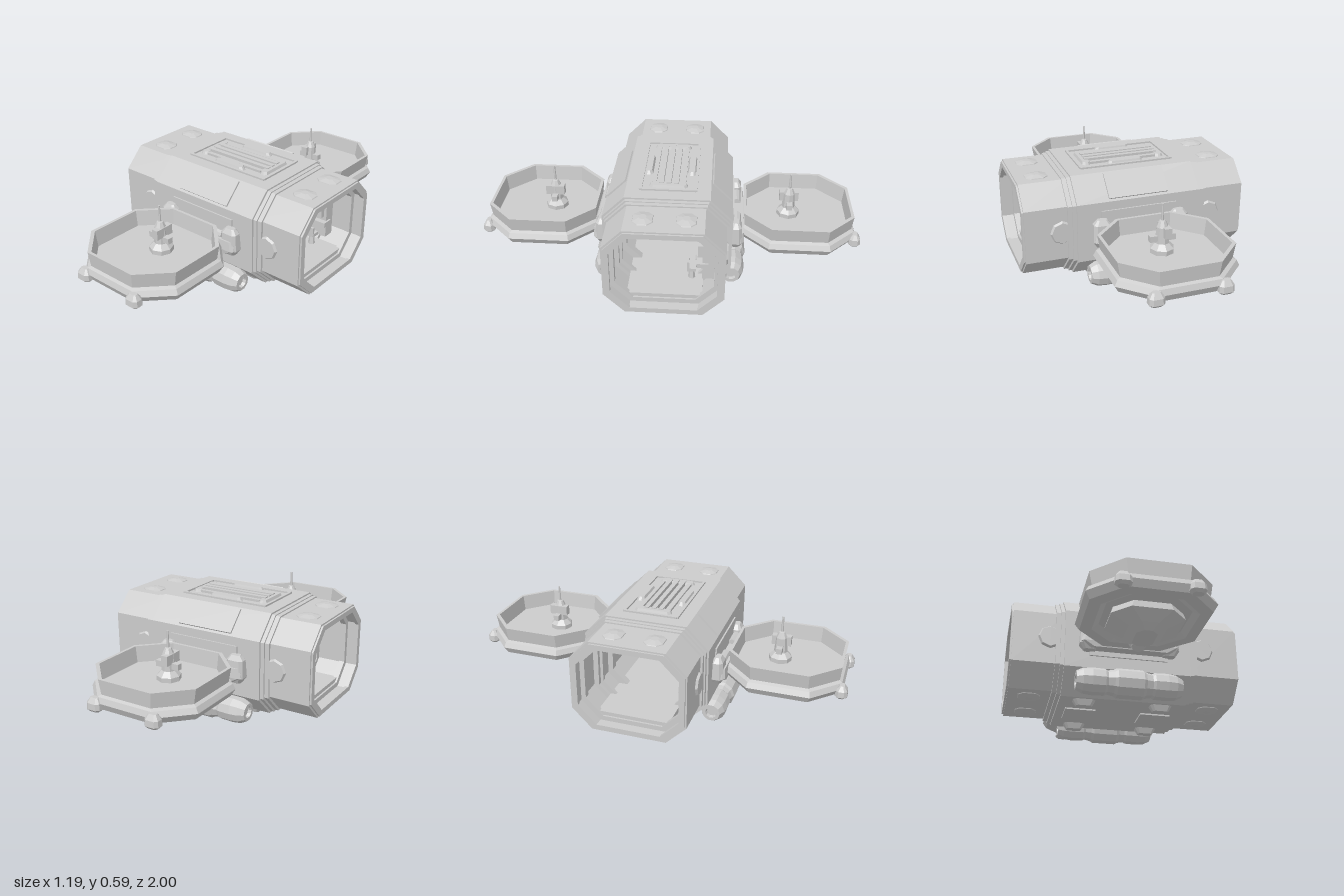
import * as THREE from 'three';

const mat = new THREE.MeshStandardMaterial({ color: 0xcccccc, flatShading: true, side: THREE.DoubleSide });

function add(parent, name, geo, x = 0, y = 0, z = 0) {
  const m = new THREE.Mesh(geo, mat);
  m.name = name;
  m.position.set(x, y, z);
  parent.add(m);
  return m;
}
const box = (w, h, d) => new THREE.BoxGeometry(w, h, d);

// Corners of an octagon with half sizes a, b and corner cut c
const octagon = (a, b, c) => [
  [a, b - c], [a - c, b], [c - a, b], [-a, b - c], [-a, c - b], [c - a, -b], [a - c, -b], [a, c - b],
];

// Stacked octagon rings [y, halfX, halfZ, cut, zOffset], capped at both ends
function loft(rings) {
  const pos = [];
  const pts = rings.map(([y, a, b, c, dz = 0]) => octagon(a, b, c).map(([x, v]) => [x, y, dz - v]));
  const tri = (...p) => p.forEach((q) => pos.push(...q));
  for (let k = 0; k < pts.length - 1; k++) {
    for (let i = 0; i < 8; i++) {
      const j = (i + 1) % 8;
      tri(pts[k][i], pts[k][j], pts[k + 1][j]);
      tri(pts[k][i], pts[k + 1][j], pts[k + 1][i]);
    }
  }
  const top = pts[pts.length - 1];
  for (let i = 1; i < 7; i++) {
    tri(pts[0][0], pts[0][i + 1], pts[0][i]);
    tri(top[0], top[i], top[i + 1]);
  }
  const g = new THREE.BufferGeometry();
  g.setAttribute('position', new THREE.Float32BufferAttribute(pos, 3));
  g.computeVertexNormals();
  return g;
}

// Octagonal ring running along x; outer and inner are [halfZ, bottomY, topY, cut]
function sleeve(x0, x1, outer, inner) {
  const path = ([w, lo, hi, c]) =>
    octagon(w, (hi - lo) / 2, c).map(([z, y]) => new THREE.Vector2(z, y + (lo + hi) / 2));
  const s = new THREE.Shape(path(outer));
  s.holes.push(new THREE.Path(path(inner)));
  return new THREE.ExtrudeGeometry(s, { depth: x1 - x0, bevelEnabled: false })
    .rotateY(Math.PI / 2).translate(x0, 0, 0);
}

function buildHull(g) {
  add(g, 'centreHull', sleeve(-0.325, 0.325, [0.33, 0.04, 0.58, 0.115], [0.25, 0.11, 0.52, 0.09]));
  for (const s of [-1, 1]) {
    const ring = (name, a, b, o, i) => add(g, name, sleeve(Math.min(s * a, s * b), Math.max(s * a, s * b), o, i));
    ring('endHull', 0.325, 0.585, [0.30, 0.07, 0.56, 0.105], [0.272, 0.095, 0.535, 0.1]);
    ring('endLip', 0.575, 0.594, [0.292, 0.078, 0.552, 0.103], [0.262, 0.105, 0.525, 0.095]);
    ring('innerCollar', 0.325, 0.345, [0.32, 0.05, 0.572, 0.112], [0.23, 0.125, 0.51, 0.085]);
    ring('outerCollar', 0.345, 0.368, [0.312, 0.06, 0.567, 0.11], [0.245, 0.11, 0.52, 0.085]);
    ring('innerFrame', 0.19, 0.23, [0.26, 0.1, 0.53, 0.09], [0.222, 0.14, 0.505, 0.08]);
    ring('doorFrame', 0.5, 0.53, [0.28, 0.09, 0.54, 0.1], [0.247, 0.12, 0.515, 0.09]);
    // Domes on the sides, blisters above and below
    for (const z of [-1, 1]) {
      const dome = add(g, 'sideDome', new THREE.CylinderGeometry(0.055, 0.068, 0.02, 8), s * 0.395, 0.32, z * 0.302);
      dome.rotation.x = z * Math.PI / 2;
      const blister = () => loft([[-0.015, 0.065, 0.055, 0.03], [0.004, 0.055, 0.048, 0.025], [0.013, 0.02, 0.018, 0.01]]);
      add(g, 'topBlister', blister(), s * 0.475, 0.56, z * 0.105);
      add(g, 'bottomBlister', blister().rotateX(Math.PI), s * 0.475, 0.07, z * 0.105);
    }
  }
  add(g, 'deck', box(1.04, 0.035, 0.38), 0, 0.123, 0);

  // Panels on the upper slopes, doors behind the platforms
  for (const z of [-1, 1]) {
    const panel = add(g, 'slopePanel', box(0.315, 0.012, 0.14), 0, 0.526, z * 0.273);
    panel.rotation.x = z * Math.PI / 4;
    add(g, 'sideDoor', box(0.4, 0.2, 0.012), 0, 0.32, z * 0.332);
  }

  // Feet and belly plates
  for (const x of [-0.2, 0.2]) {
    for (const z of [-0.17, 0.17]) {
      add(g, 'bellyFoot', loft([[0.01, 0.04, 0.02, 0.01], [0.045, 0.06, 0.035, 0.015]]), x, 0, z);
    }
    add(g, 'bellyPlate', box(0.16, 0.012, 0.14), x, 0.038, 0);
  }
}

function buildHatch() {
  const g = new THREE.Group();
  g.name = 'roofHatch';
  for (const s of [-1, 1]) {
    add(g, 'hatchRim', box(0.5, 0.012, 0.014), 0, 0.583, s * 0.14);
    add(g, 'hatchRim', box(0.014, 0.012, 0.28), s * 0.245, 0.583, 0);
    add(g, 'hatchBracket', loft([[0.575, 0.025, 0.1, 0.015], [0.594, 0.018, 0.09, 0.012]]), s * 0.2, 0, 0);
    add(g, 'hatchCover', loft([[0.575, 0.1, 0.025, 0.015], [0.598, 0.085, 0.016, 0.01]]), 0, 0, s * 0.112);
    add(g, 'hatchShoulder', box(0.36, 0.014, 0.022), 0, 0.585, s * 0.075);
  }
  for (let i = -1; i <= 1; i++) add(g, 'hatchBar', box(0.4, 0.022, 0.024), 0, 0.588, i * 0.038);
  return g;
}

// Octagonal landing tray with its pod, control post, hinge and lugs, facing +z
function buildPlatform() {
  const g = new THREE.Group();
  const zc = 0.675;
  add(g, 'tray', loft([
    [0.268, 0.2, 0.2, 0.1], [0.247, 0.23, 0.23, 0.11], [0.25, 0.285, 0.285, 0.14],
    [0.285, 0.305, 0.302, 0.145], [0.312, 0.292, 0.292, 0.14], [0.32, 0.275, 0.278, 0.135],
    [0.395, 0.288, 0.285, 0.14], [0.395, 0.272, 0.27, 0.135], [0.312, 0.262, 0.262, 0.13],
  ]), 0, 0, zc);
  add(g, 'pod', loft([
    [0.165, 0.05, 0.08, 0.03], [0.19, 0.09, 0.115, 0.05], [0.235, 0.175, 0.165, 0.08], [0.27, 0.165, 0.16, 0.08],
  ]), 0, 0, 0.665);
  add(g, 'podKnob', new THREE.CylinderGeometry(0.05, 0.035, 0.05, 8), 0, 0.205, 0.54).rotation.x = -0.5;

  // Control post
  add(g, 'postBase', new THREE.LatheGeometry([[0.06, 0.31], [0.06, 0.335], [0.035, 0.36], [0.03, 0.44], [0.016, 0.47], [0, 0.475]]
    .map(([r, y]) => new THREE.Vector2(r, y)), 8), 0, 0, 0.63);
  add(g, 'postArm', box(0.13, 0.03, 0.03), 0, 0.385, 0.63);
  add(g, 'postSeat', box(0.035, 0.05, 0.1), 0.012, 0.42, 0.63);
  add(g, 'postMast', new THREE.CylinderGeometry(0.005, 0.009, 0.15, 6), 0, 0.48, 0.63);

  // Hinge and outer lugs
  add(g, 'hingeBeam', loft([[0.245, 0.2, 0.03, 0.015], [0.275, 0.25, 0.035, 0.015], [0.325, 0.24, 0.03, 0.015]]), 0, 0, 0.36);
  for (const s of [-1, 1]) {
    add(g, 'hingeBracket', loft([
      [0.24, 0.03, 0.02, 0.01], [0.27, 0.05, 0.035, 0.015], [0.36, 0.045, 0.03, 0.015], [0.385, 0.025, 0.015, 0.008],
    ]), s * 0.205, 0, 0.35);
    const lug = loft([[0.242, 0.025, 0.018, 0.01], [0.255, 0.038, 0.03, 0.015], [0.285, 0.036, 0.028, 0.014], [0.31, 0.02, 0.012, 0.006]]);
    add(g, 'outerLug', lug, s * 0.165, 0, 0.97);
    const pin = add(g, 'hingePin', new THREE.CylinderGeometry(0.022, 0.022, 0.1, 8), s * 0.11, 0.33, 0.355);
    pin.rotation.z = Math.PI / 2;
  }
  return g;
}

// Segmented tank lying along x
function buildTank() {
  const half = [[0.075, 0.065], [0.066, 0.08], [0.06, 0.112], [0.067, 0.125], [0.069, 0.19],
    [0.064, 0.235], [0.047, 0.268], [0.03, 0.268], [0.026, 0.25], [0, 0.25]];
  const pts = [...half.map(([r, x]) => [r, -x]).reverse(), ...half].map(([r, x]) => new THREE.Vector2(r, x));
  return new THREE.LatheGeometry(pts, 10).rotateZ(Math.PI / 2);
}

// Wall console with a small seat
function buildConsole() {
  const g = new THREE.Group();
  g.name = 'console';
  add(g, 'consoleCabinet', box(0.1, 0.2, 0.06), 0.37, 0.27, -0.215);
  add(g, 'consoleScreen', box(0.07, 0.07, 0.03), 0.37, 0.325, -0.175);
  add(g, 'consoleDesk', box(0.12, 0.025, 0.06), 0.37, 0.255, -0.185);
  add(g, 'seatPost', new THREE.CylinderGeometry(0.012, 0.02, 0.06, 6), 0.37, 0.165, -0.13);
  add(g, 'seatPad', box(0.05, 0.018, 0.045), 0.37, 0.2, -0.13);
  add(g, 'seatBack', box(0.045, 0.05, 0.012), 0.37, 0.22, -0.112);
  return g;
}

export function createModel() {
  const model = new THREE.Group();
  model.name = 'module';
  buildHull(model);
  model.add(buildHatch(), buildConsole());
  for (const s of [1, -1]) {
    const side = buildPlatform();
    side.name = s > 0 ? 'frontPlatform' : 'backPlatform';
    side.rotation.y = s > 0 ? 0 : Math.PI;
    model.add(side);
    add(model, s > 0 ? 'frontTank' : 'backTank', buildTank(), 0, 0.079, s * 0.335);
  }
  return model;
}
